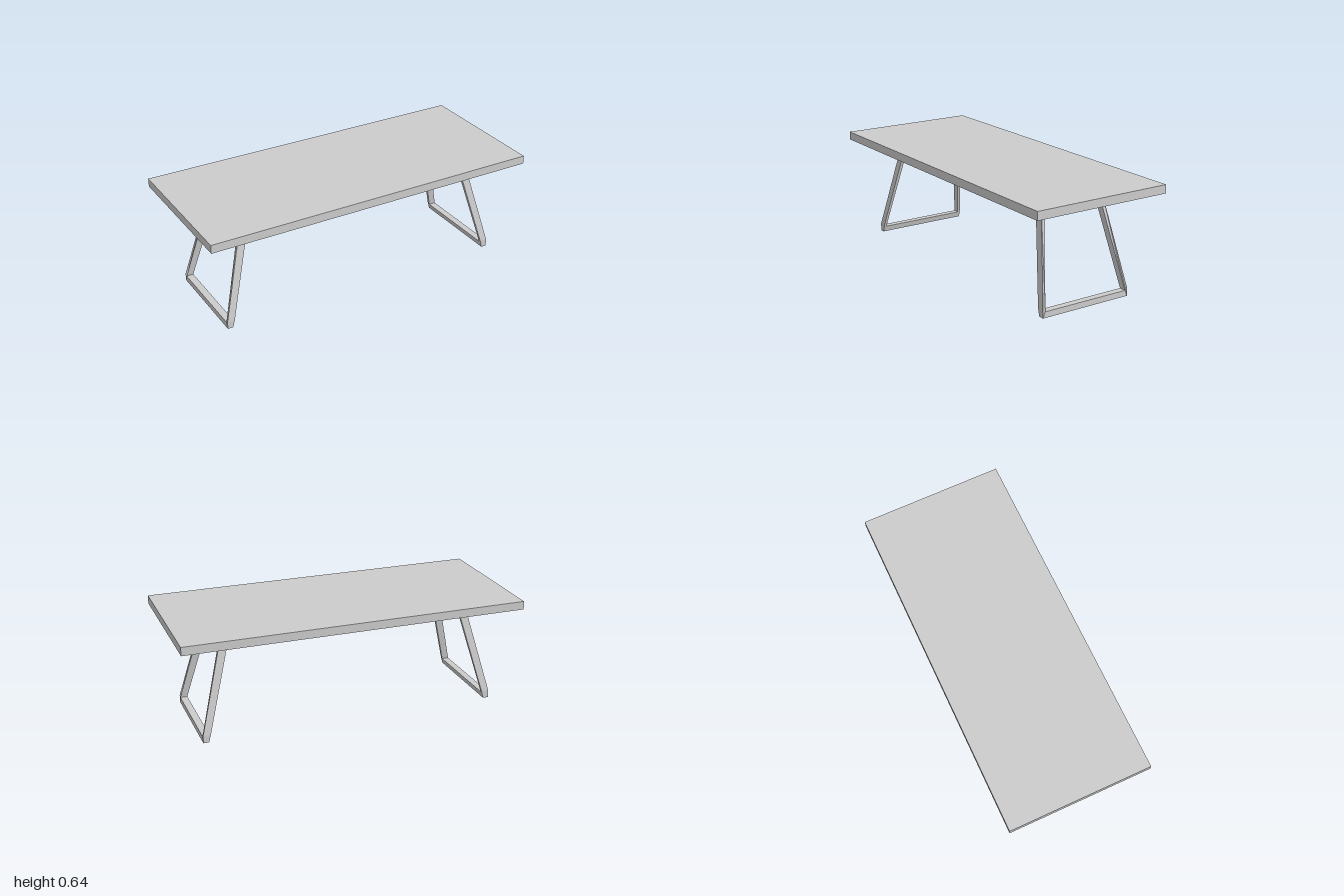
import * as THREE from 'three';

const TOP_Y = 0.593;   // underside of the tabletop
const HEIGHT = 0.642;
const BEND_Y = 0.045;  // the outer leg face is vertical below this height

// U-shaped leg frame: side profile extruded, then splayed outward towards the floor
function legFrameGeometry() {
  const half = [[0.285, 0], [0.285, BEND_Y], [0.2, TOP_Y], [0.177, TOP_Y], [0.27, 0.035]];
  const mirrored = half.map(([z, y]) => [-z, y]).reverse();
  const profile = new THREE.Shape([...half, ...mirrored].map(([z, y]) => new THREE.Vector2(z, y)));
  const geometry = new THREE.ExtrudeGeometry(profile, { depth: 1, bevelEnabled: false });
  geometry.rotateY(Math.PI / 2);

  const pos = geometry.attributes.position;
  for (let i = 0; i < pos.count; i++) {
    const y = pos.getY(i);
    const inner = THREE.MathUtils.mapLinear(y, 0, TOP_Y, 0.843, 0.682);
    const outer = y <= BEND_Y ? 0.875 : THREE.MathUtils.mapLinear(y, BEND_Y, TOP_Y, 0.875, 0.73);
    pos.setX(i, THREE.MathUtils.lerp(inner, outer, pos.getX(i)));
  }
  geometry.computeVertexNormals();
  return geometry;
}

export function createModel() {
  const model = new THREE.Group();
  model.name = 'table';
  const material = new THREE.MeshStandardMaterial({ color: 0xcccccc, flatShading: true });

  // Tabletop slab
  const tabletop = new THREE.Mesh(new THREE.BoxGeometry(2, HEIGHT - TOP_Y, 0.84), material);
  tabletop.name = 'tabletop';
  tabletop.position.y = (HEIGHT + TOP_Y) / 2;
  model.add(tabletop);

  // One leg frame at each end
  const frame = legFrameGeometry();
  for (const [name, angle] of [['leftLegFrame', 0], ['rightLegFrame', Math.PI]]) {
    const leg = new THREE.Mesh(frame, material);
    leg.name = name;
    leg.rotation.y = angle;
    model.add(leg);
  }
  return model;
}
